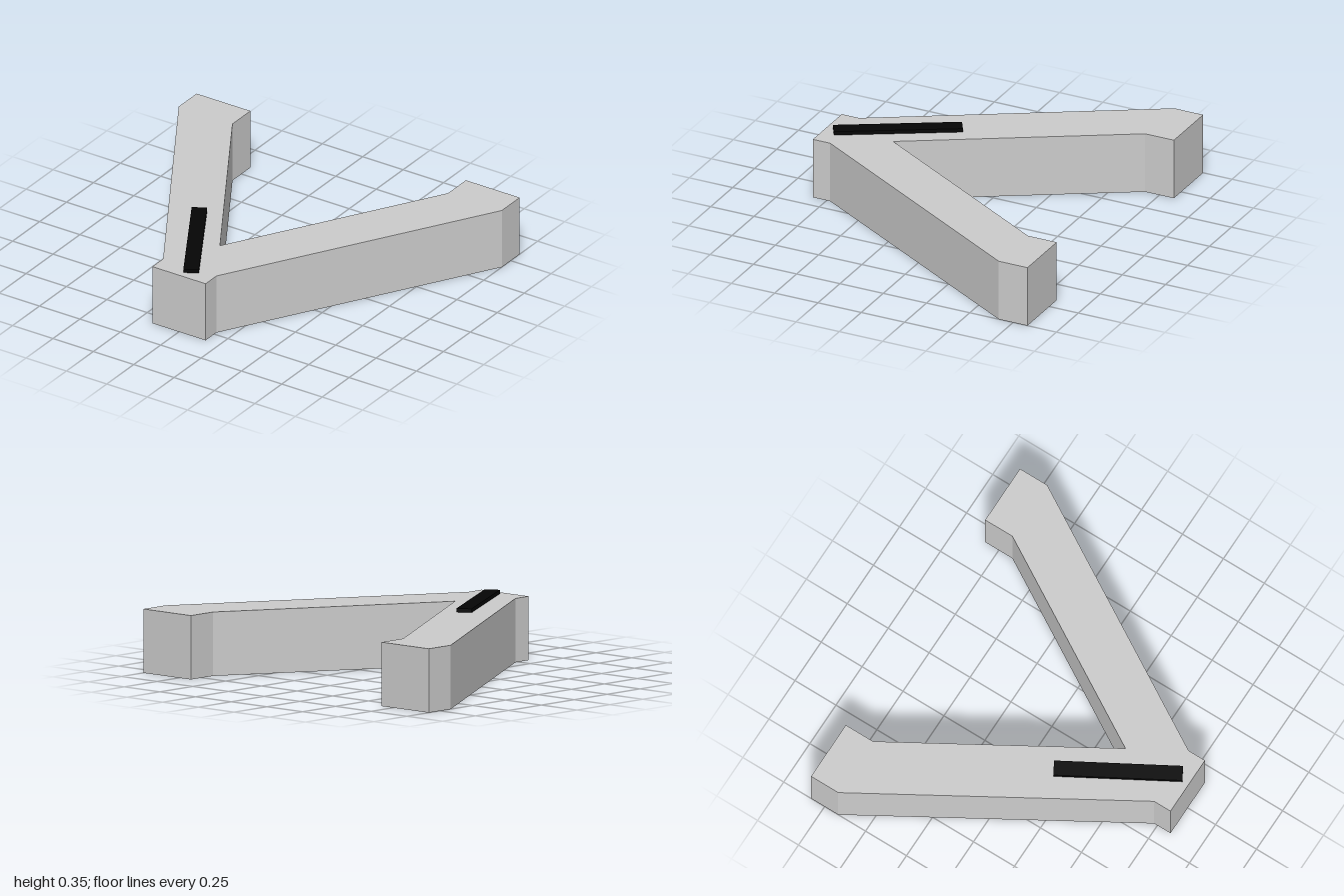
import * as THREE from 'three';

const HEIGHT = 0.333;

export function createModel() {
  const model = new THREE.Group();

  // V-shaped body: right half of the plan outline as (x, z), mirrored for the other half
  const half = [[0.165, 0.83], [0.165, 0.73], [1, -0.667], [1, -0.833], [0.667, -0.833], [0.667, -0.667]];
  const mirrored = half.map(([x, z]) => [-x, z]).reverse();
  const outline = [...half, [0, 0.45], ...mirrored];
  const shape = new THREE.Shape(outline.map(([x, z]) => new THREE.Vector2(x, -z)));
  const bodyGeometry = new THREE.ExtrudeGeometry(shape, { depth: HEIGHT, bevelEnabled: false });
  bodyGeometry.rotateX(-Math.PI / 2);
  const body = new THREE.Mesh(bodyGeometry, new THREE.MeshStandardMaterial({ color: 0xcccccc, flatShading: true }));
  body.name = 'vBody';
  model.add(body);

  // Dark strip lying along the right arm, slightly sunk into the body
  const strip = new THREE.Mesh(
    new THREE.BoxGeometry(0.08, 0.04, 0.665),
    new THREE.MeshStandardMaterial({ color: 0x050505 })
  );
  strip.name = 'topStrip';
  strip.position.set(-0.128, HEIGHT, 0.487);
  strip.rotation.y = Math.PI / 6;
  model.add(strip);

  return model;
}
